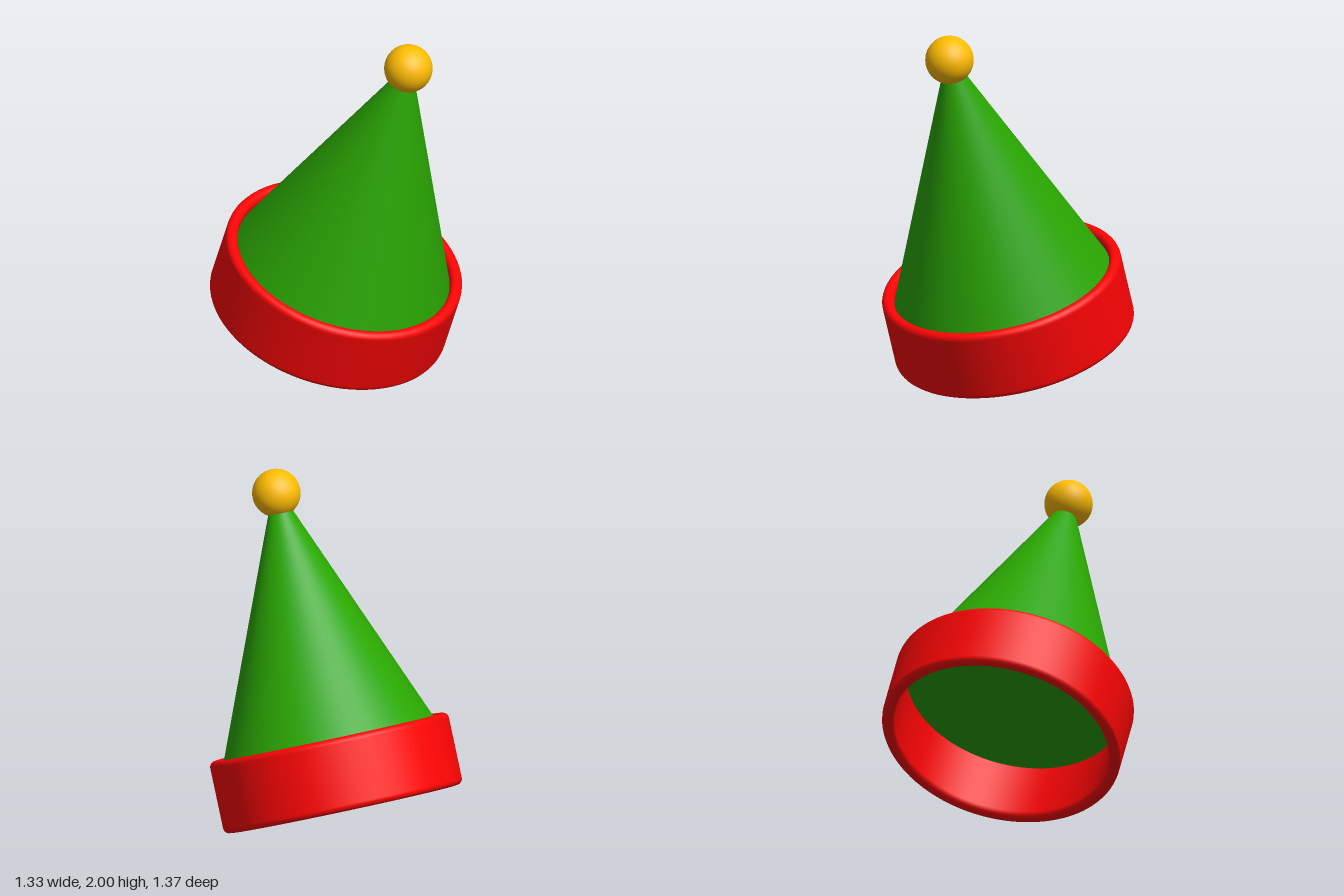
import * as THREE from 'three';

const TILT = THREE.MathUtils.degToRad(20);
const BAND = { radius: 0.631, fillet: 0.033, height: 0.4 };

function part(name, geometry, color, y = 0) {
  const mesh = new THREE.Mesh(geometry, new THREE.MeshStandardMaterial({ color }));
  mesh.name = name;
  mesh.position.y = y;
  return mesh;
}

// Closed wall section with fully rounded upper and lower rims
function bandGeometry({ radius, fillet, height }) {
  const points = [];
  const steps = 10;
  for (const [start, y] of [[-Math.PI, fillet], [0, height - fillet]]) {
    for (let i = 0; i <= steps; i++) {
      const a = start + (Math.PI * i) / steps;
      points.push(new THREE.Vector2(radius + fillet * Math.cos(a), y + fillet * Math.sin(a)));
    }
  }
  points.push(points[0].clone());
  return new THREE.LatheGeometry(points, 96);
}

export function createModel() {
  const hat = new THREE.Group();
  hat.name = 'partyHat';

  // Everything is stacked on one axis, which leans forward
  const body = new THREE.Group();
  body.name = 'tiltedHat';
  body.position.set(0, 0.218, -0.07);
  body.rotation.x = TILT;
  hat.add(body);

  // Brim band
  body.add(part('brimBand', bandGeometry(BAND), 0xff0404));

  // Cone, closed underneath, its base sunk into the band
  const base = 0.355;
  const coneHeight = 1.46;
  body.add(part('cone', new THREE.ConeGeometry(0.598, coneHeight, 96), 0x2aa702, base + coneHeight / 2));

  // Ball at the tip
  body.add(part('tipBall', new THREE.SphereGeometry(0.132, 48, 32), 0xffbd02, 1.757));

  return hat;
}
